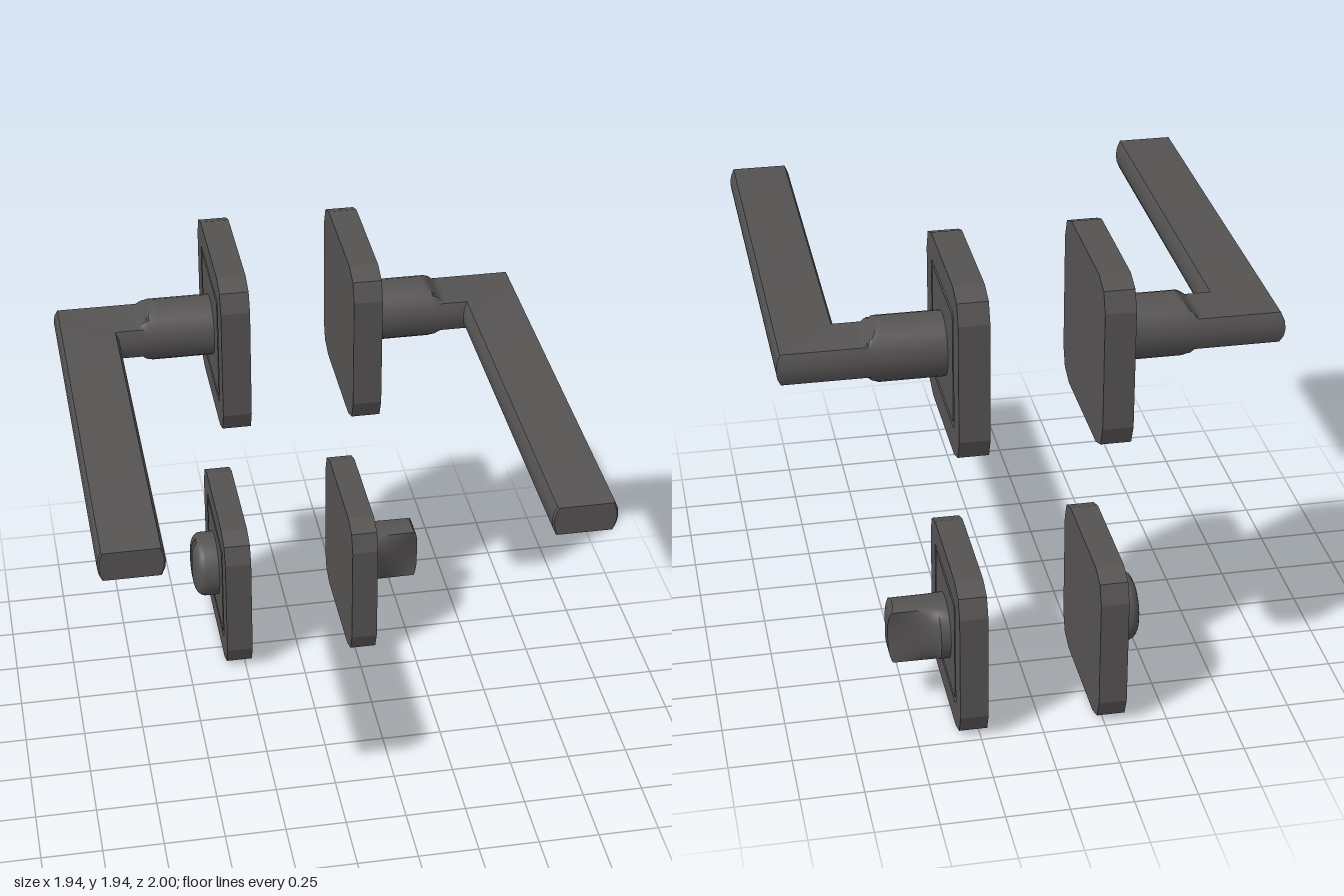
import * as THREE from 'three';
import { toCreasedNormals } from 'three/addons/utils/BufferGeometryUtils.js';

const material = new THREE.MeshStandardMaterial({ color: 0x555252 });

function add(parent, name, geometry, x = 0, y = 0, z = 0) {
  const mesh = new THREE.Mesh(geometry, material);
  mesh.name = name;
  mesh.position.set(x, y, z);
  parent.add(mesh);
  return mesh;
}

// Surface through a grid of points; point(i, j) returns [x, y, z]
function gridSurface(rows, cols, point) {
  const pos = [], index = [];
  for (let i = 0; i < rows; i++)
    for (let j = 0; j < cols; j++) pos.push(...point(i, j));
  for (let i = 0; i < rows - 1; i++)
    for (let j = 0; j < cols - 1; j++) {
      const a = i * cols + j, c = a + cols;
      index.push(a, a + 1, c, a + 1, c + 1, c);
    }
  const g = new THREE.BufferGeometry();
  g.setAttribute('position', new THREE.Float32BufferAttribute(pos, 3));
  g.setIndex(index);
  return toCreasedNormals(g, 0.5);
}

// Square outline with corners cut in two facets
function cutSquare(half, cut) {
  const pts = [];
  for (let k = 0; k < 4; k++) {
    const c = Math.cos(k * Math.PI / 2), s = Math.sin(k * Math.PI / 2);
    for (const [x, y] of [[half, half - cut], [half - cut * 0.28, half - cut * 0.28], [half - cut, half]])
      pts.push(new THREE.Vector2(x * c - y * s, x * s + y * c));
  }
  return pts;
}

function slab(outline, depth, hole) {
  const shape = new THREE.Shape(outline);
  if (hole) shape.holes.push(new THREE.Path(hole));
  return new THREE.ExtrudeGeometry(shape, { depth, bevelEnabled: false }).rotateY(Math.PI / 2);
}

// Square plate with a shallow groove around its centre panel
function plate(name, half, thick) {
  const g = new THREE.Group(), groove = 0.012, inner = half * 0.69;
  g.name = name;
  const outline = cutSquare(half, 0.11);
  add(g, 'plateBody', slab(outline, thick - groove));
  add(g, 'plateRim', slab(outline, groove, cutSquare(inner, 0.018)), thick - groove);
  add(g, 'platePanel', slab(cutSquare(inner - 0.018, 0.012), groove), thick - groove);
  return g;
}

// Round neck that flattens, turns a mitred corner and runs forward as a bar
function lever() {
  const R = 0.126, xc = 0.845, zc = -0.645, yc = 1.586, N = 24;
  const sections = [];
  for (const x of [0.32, 0.45]) sections.push({ x, h: R });
  for (let k = 0; k <= 8; k++) {
    const u = k / 8;
    sections.push({ x: 0.56 + 0.09 * u, h: R - R / 2 * u * u * (3 - 2 * u) });
  }
  sections.push({ mitre: true, h: R / 2 });
  for (const [z, scale] of [[0.992, 1], [1, 0.95], [1, 0]]) sections.push({ z, scale, h: R / 2 });
  return gridSurface(sections.length, N + 1, (i, j) => {
    const s = sections[i], t = j / N * Math.PI * 2, k = s.scale ?? 1;
    const a = R * Math.cos(t) * k;
    const y = yc + THREE.MathUtils.clamp(R * Math.sin(t), -s.h, s.h) * k;
    if (s.mitre) return [xc + a, y, zc - a];
    return s.z === undefined ? [s.x, y, zc - a] : [xc + a, y, s.z];
  });
}

// Round knob rising along +x. s is 0 at the middle, +-1 at the edge of the
// centre strip and +-2 at the rim; the end columns drop to the base
function knob(ry, rz, strip, height, columns) {
  const cols = [-2, ...columns, 2], rows = 29;
  return gridSurface(rows, cols.length, (i, j) => {
    const q = Math.sin((i / (rows - 1) - 0.5) * Math.PI);
    const edge = rz * Math.sqrt(Math.max(0, 1 - q * q));
    const s = cols[j], u = Math.abs(s), w = Math.min(strip(q), edge);
    const z = Math.sign(s) * (u <= 1 ? u * w : w + (u - 1) * (edge - w));
    const base = j === 0 || j === cols.length - 1;
    return [base ? 0 : height(u, q, z), q * ry, -z];
  });
}

function mirrorColumns(positive) {
  return [...positive.map(v => -v).reverse(), 0, ...positive];
}

export function createModel() {
  const model = new THREE.Group();
  model.name = 'doorHandleSet';
  const leverGeometry = lever();

  for (const side of [1, -1]) {
    const half = new THREE.Group();
    half.name = side > 0 ? 'leftSide' : 'rightSide';
    half.scale.x = side;
    model.add(half);

    const upper = plate('handlePlate', 0.349, 0.118);
    upper.position.set(0.212, 1.586, -0.648);
    const lower = plate('lockPlate', 0.338, 0.112);
    lower.position.set(0.222, 0.338, -0.662);
    half.add(upper, lower);

    add(half, 'leverHandle', leverGeometry);

    if (side > 0) {
      // Thumb turn: a waisted grip between two concave scoops
      const outer = Array.from({ length: 11 }, (_, k) => 1 + k / 10);
      add(half, 'thumbTurn', knob(0.13, 0.14,
        q => 0.037 + 0.025 * q * q,
        (u, q) => {
          const top = 0.25 - 0.025 * q ** 4;
          return u <= 1 ? top : 0.05 + (top - 0.05) * (2 - u) ** 2;
        }, mirrorColumns([0.5, ...outer])), 0.322, 0.33, -0.66);
    } else {
      // Emergency release: a domed button with a vertical slot
      const R = 0.142;
      const outer = Array.from({ length: 11 }, (_, k) => 1 + Math.sin(k / 10 * Math.PI / 2));
      add(half, 'releaseButton', knob(R, R,
        () => 0.018,
        (u, q, z) => {
          const rho = Math.min(1, Math.hypot(q, z / R));
          const dome = 0.065 + 0.05 * Math.sqrt(1 - rho ** 4);
          return u < 1 && Math.abs(q) < 0.85 ? 0.06 : dome;
        }, mirrorColumns([0.97, ...outer])), 0.325, 0.343, -0.672);
    }
  }
  return model;
}
